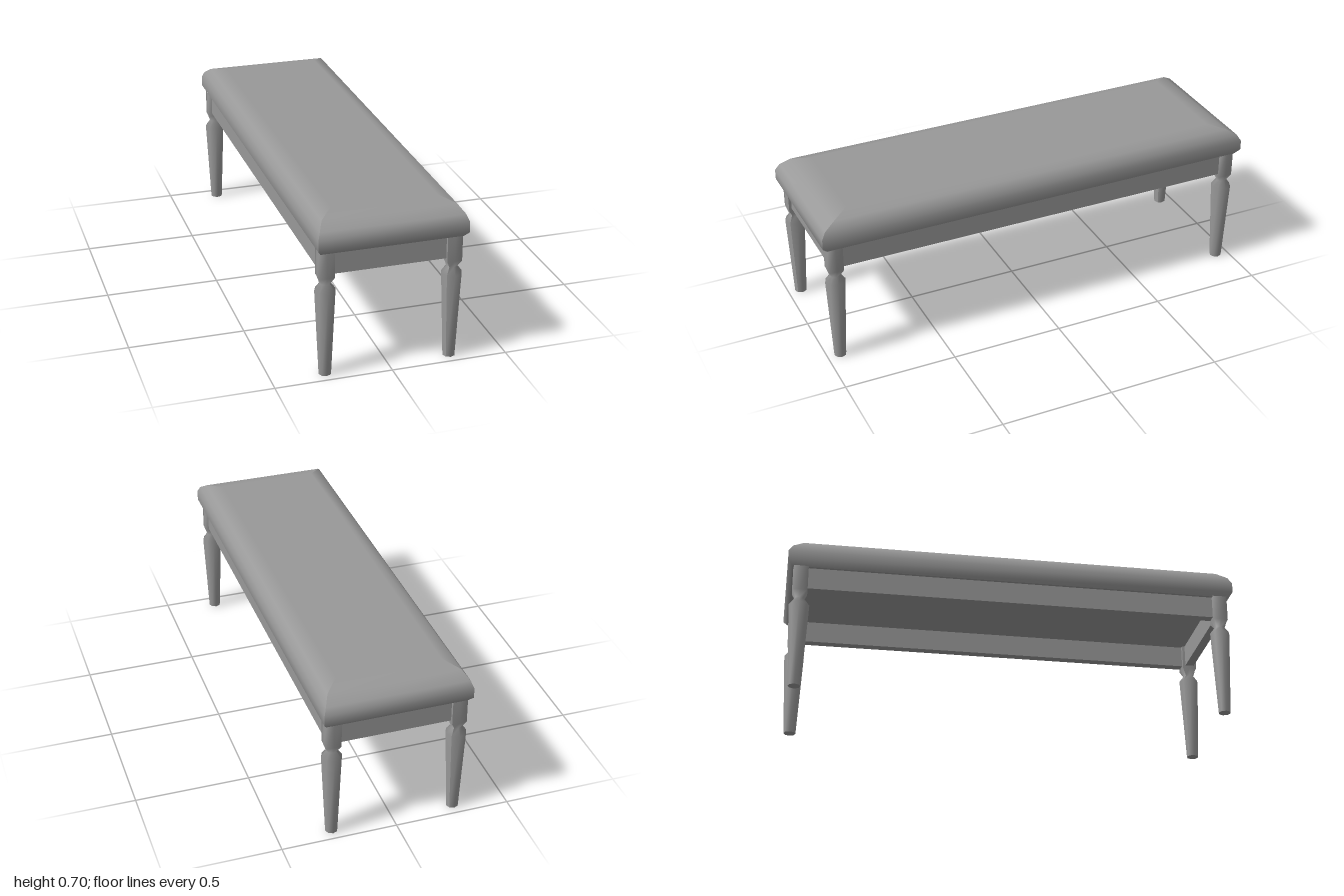
import * as THREE from 'three';
import { mergeGeometries } from 'three/addons/utils/BufferGeometryUtils.js';

const material = new THREE.MeshStandardMaterial({ color: 0x999999 });

// Smooth open strip through rows of points (bottom to top, each running counter-clockwise seen from above).
function strip(rows) {
  const n = rows[0].length;
  const index = [];
  for (let r = 0; r < rows.length - 1; r++) {
    for (let i = 0; i < n - 1; i++) {
      const a = r * n + i, b = a + 1;
      index.push(a, b, b + n, a, b + n, a + n);
    }
  }
  const geometry = new THREE.BufferGeometry();
  geometry.setAttribute('position', new THREE.Float32BufferAttribute(rows.flat(2), 3));
  geometry.setIndex(index);
  geometry.computeVertexNormals();
  return geometry;
}

// Flat horizontal cap at height y, facing up (1) or down (-1)
function cap(geometry, y, facing) {
  geometry.deleteAttribute('uv');
  return geometry.rotateX(-facing * Math.PI / 2).translate(0, y, 0);
}

function addMesh(parent, name, geometry, x = 0, y = 0, z = 0) {
  const mesh = new THREE.Mesh(geometry, material);
  mesh.name = name;
  mesh.position.set(x, y, z);
  parent.add(mesh);
  return mesh;
}

// Padded seat: four rolled sides meeting in mitres, [y, half width, half length]
function cushionGeometry() {
  const profile = [
    [0.557, 0.302, 0.978], [0.58, 0.317, 1], [0.625, 0.317, 1],
    [0.655, 0.306, 0.982], [0.684, 0.284, 0.935], [0.702, 0.225, 0.86],
  ];
  const corners = [[1, 1], [1, -1], [-1, -1], [-1, 1]];
  const sides = corners.map((corner, i) => {
    const ends = [corner, corners[(i + 1) % 4]];
    const side = strip(profile.map(([y, w, l]) => ends.map(([sx, sz]) => [sx * w, y, sz * l])));
    // The roll runs smoothly into the flat top
    const normal = side.attributes.normal;
    for (let k = normal.count - 2; k < normal.count; k++) normal.setXYZ(k, 0, 1, 0);
    return side;
  });
  const [yBottom, wBottom, lBottom] = profile[0];
  const [yTop, wTop, lTop] = profile[profile.length - 1];
  return mergeGeometries([
    ...sides,
    cap(new THREE.PlaneGeometry(2 * wTop, 2 * lTop), yTop, 1),
    cap(new THREE.PlaneGeometry(2 * wBottom, 2 * lBottom), yBottom, -1),
  ]);
}

// Leg: eight-sided taper opening into a nearly square block, [y, radius, corner stretch].
// The inner facets, towards -x, are set off by a crease.
function legGeometry() {
  const profile = [
    [0, 0.027, 1], [0.383, 0.045, 1], [0.413, 0.023, 1],
    [0.445, 0.034, 1.33], [0.56, 0.034, 1.33],
  ];
  const sector = (first, last) => strip(profile.map(([y, radius, stretch]) => {
    const row = [];
    for (let i = first; i <= last; i++) {
      const r = i % 2 ? radius * stretch : radius;
      row.push([r * Math.cos(i * Math.PI / 4), y, -r * Math.sin(i * Math.PI / 4)]);
    }
    return row;
  }));
  return mergeGeometries([
    sector(3, 5),
    sector(5, 11),
    cap(new THREE.CircleGeometry(0.027, 8), 0, -1),
  ]);
}

export function createModel() {
  const bench = new THREE.Group();
  bench.name = 'bench';

  addMesh(bench, 'cushion', cushionGeometry());

  const legX = 0.27, legZ = 0.941;
  const leg = legGeometry();
  const sideRail = new THREE.BoxGeometry(0.04, 0.1, 1.82);
  const endRail = new THREE.BoxGeometry(0.48, 0.1, 0.04);

  for (const s of [1, -1]) {
    // Rails between the legs
    addMesh(bench, s > 0 ? 'leftRail' : 'rightRail', sideRail, s * legX, 0.508, 0);
    addMesh(bench, s > 0 ? 'frontRail' : 'backRail', endRail, 0, 0.508, s * legZ);
    // Legs at the corners, creased side inwards
    for (const t of [1, -1]) {
      const name = (t > 0 ? 'front' : 'back') + (s > 0 ? 'LeftLeg' : 'RightLeg');
      addMesh(bench, name, leg, s * legX - 0.002, 0, t * legZ).rotation.y = s > 0 ? 0 : Math.PI;
    }
  }
  return bench;
}
